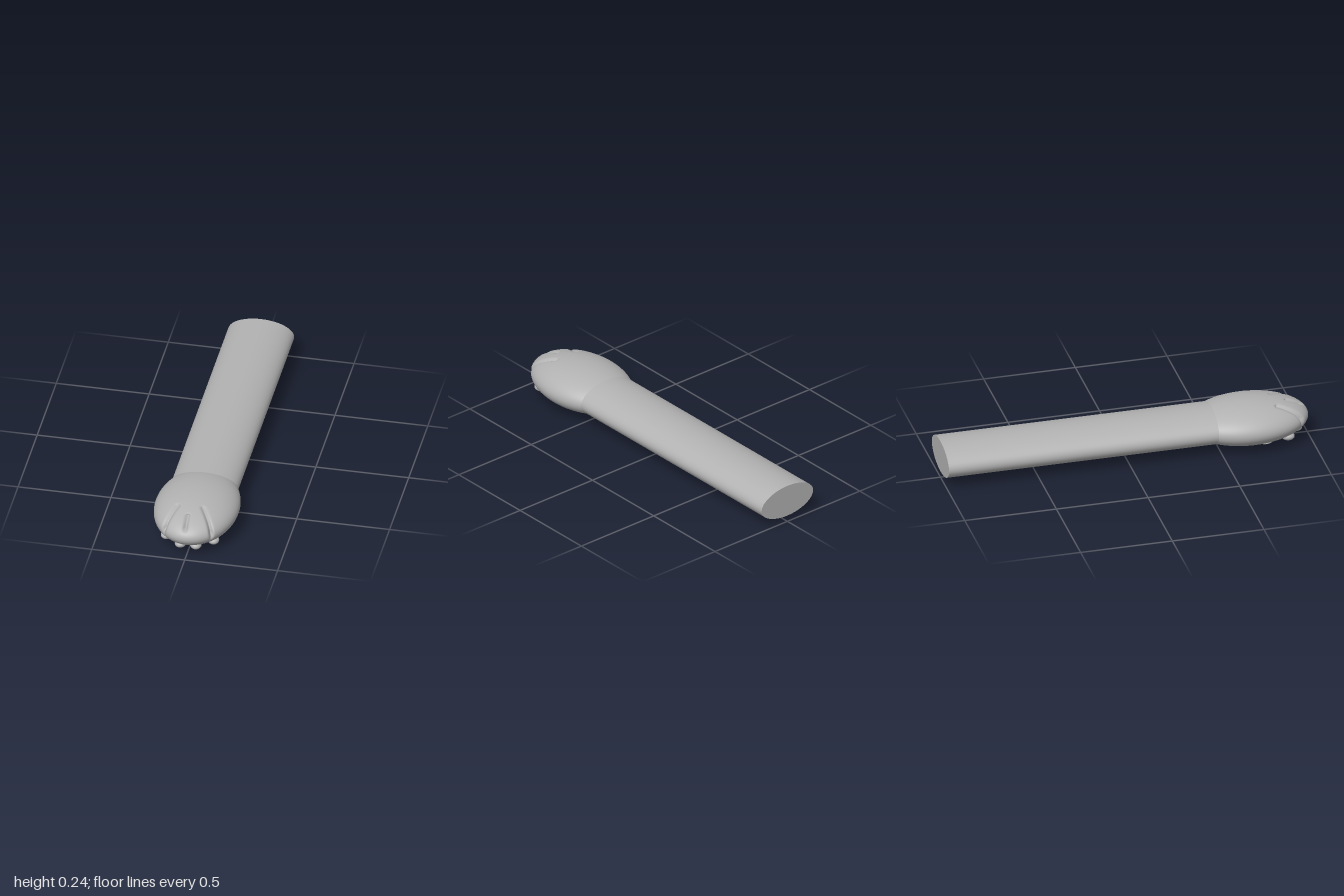
import * as THREE from 'three';
import { mergeVertices } from 'three/addons/utils/BufferGeometryUtils.js';

const CENTER = { y: 0.124, z: 0.672 };
const RADIUS = { x: 0.224, y: 0.112, z: 0.328 };

// Distance from point (x, z) to a segment seen from above
function segmentDistance(x, z, [ax, az, bx, bz]) {
  const dx = bx - ax, dz = bz - az;
  const t = THREE.MathUtils.clamp(((x - ax) * dx + (z - az) * dz) / (dx * dx + dz * dz), 0, 1);
  return Math.hypot(x - ax - t * dx, z - az - t * dz);
}

// Ellipsoid with grooves between the toes
function pawGeometry() {
  const grooves = [
    [-0.077, 0.82, -0.122, 0.94],
    [-0.007, 0.89, -0.005, 0.965],
    [0.062, 0.82, 0.13, 0.935],
  ];
  let geo = new THREE.SphereGeometry(1, 160, 160);
  geo.rotateX(Math.PI / 2);
  geo.scale(RADIUS.x, RADIUS.y, RADIUS.z);
  geo.deleteAttribute('uv');
  geo.deleteAttribute('normal');
  geo = mergeVertices(geo, 1e-5);
  const p = geo.attributes.position;
  for (let i = 0; i < p.count; i++) {
    const x = p.getX(i), y = p.getY(i), z = p.getZ(i);
    const d = Math.min(...grooves.map((g) => segmentDistance(x, z + CENTER.z, g)));
    const fade = THREE.MathUtils.smoothstep(y, -0.03, 0.02);
    const s = 1 - 0.09 * fade * Math.exp(-((d / 0.011) ** 2));
    p.setXYZ(i, x * s, y * s, z * s);
  }
  geo.computeVertexNormals();
  return geo;
}

export function createModel() {
  const model = new THREE.Group();
  const grey = new THREE.MeshStandardMaterial({ color: 0xb2b2b2 });
  grey.name = 'grey';

  const add = (name, geo, x, y, z) => {
    const mesh = new THREE.Mesh(geo, grey);
    mesh.name = name;
    mesh.position.set(x, y, z);
    model.add(mesh);
    return mesh;
  };

  // Long oval leg, ending inside the paw
  const leg = new THREE.CylinderGeometry(1, 1, 1.55, 48);
  leg.rotateX(Math.PI / 2);
  leg.scale(0.178, 0.09, 1);
  add('leg', leg, 0, 0.125, -0.225);

  add('paw', pawGeometry(), 0, CENTER.y, CENTER.z);

  // Toe pads on the lower front
  for (const [x, z, name] of [[-0.124, 0.862, 'outerToePad'], [-0.037, 0.926, 'innerToePad'],
    [0.045, 0.926, 'innerToePad'], [0.126, 0.862, 'outerToePad']]) {
    const pad = add(name, new THREE.SphereGeometry(1, 32, 24), x, 0.057, z);
    pad.scale.set(0.031, 0.022, 0.036);
    pad.rotation.y = x * 3;
  }

  // Main pad under the paw
  const mainPad = add('mainPad', new THREE.SphereGeometry(1, 48, 24), 0, 0.018, 0.755);
  mainPad.scale.set(0.112, 0.017, 0.066);
  mainPad.rotation.x = -0.08;

  return model;
}
